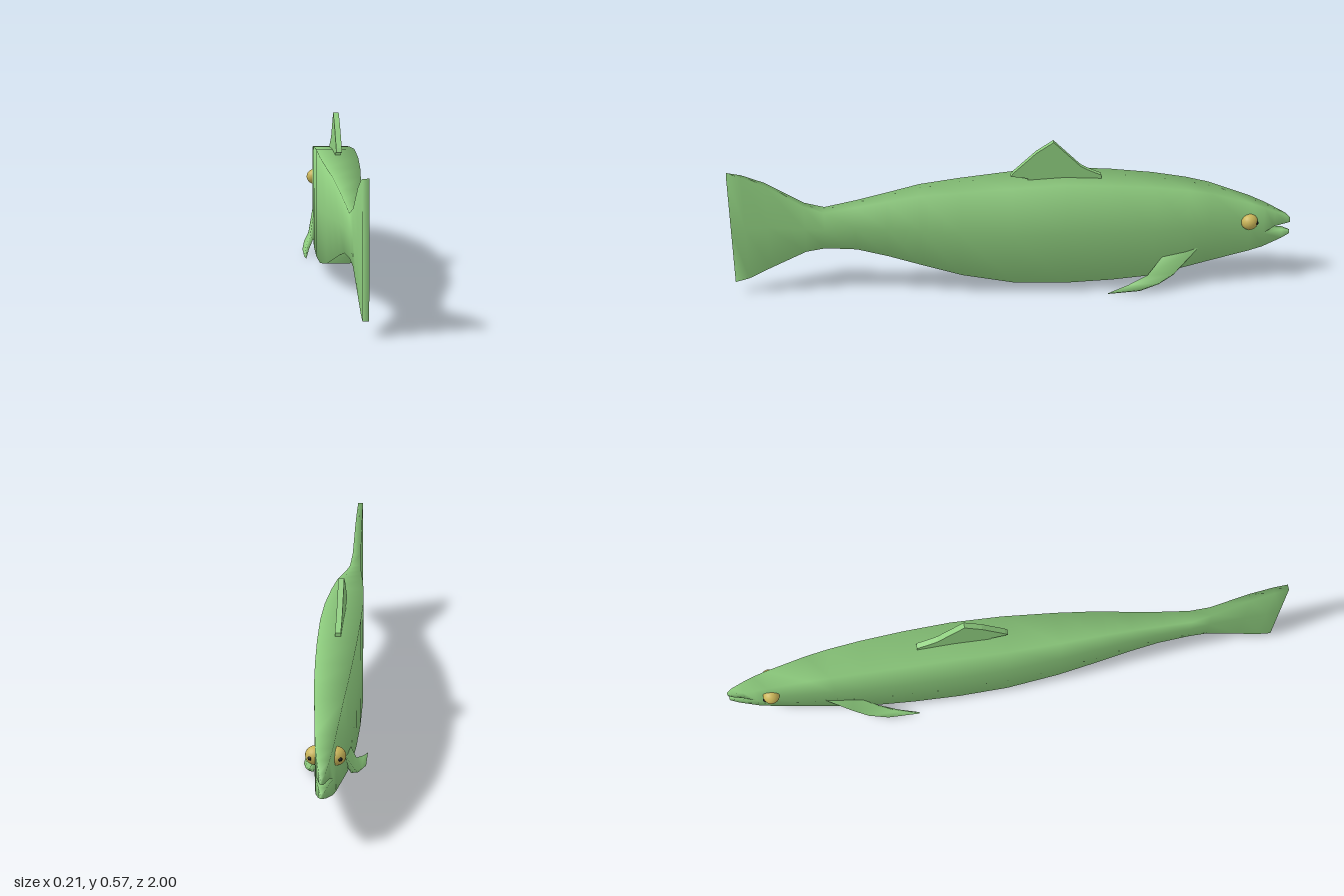
import * as THREE from 'three';
import { mergeGeometries, mergeVertices } from 'three/addons/utils/BufferGeometryUtils.js';

const green = new THREE.MeshStandardMaterial({ color: 0x8fce7f });
const gold = new THREE.MeshStandardMaterial({ color: 0xc9b458 });
const black = new THREE.MeshStandardMaterial({ color: 0x111111 });

// Skin a series of closed rings ([x, y, z] corners), optionally capping either end
function loft(rings, capStart = true, capEnd = true) {
  const n = rings[0].length, index = [];
  for (let r = 0; r < rings.length - 1; r++) {
    for (let i = 0; i < n; i++) {
      const a = r * n + i, b = r * n + (i + 1) % n;
      index.push(a, b, b + n, a, b + n, a + n);
    }
  }
  const last = (rings.length - 1) * n;
  for (let i = 1; i < n - 1; i++) {
    if (capStart) index.push(0, i + 1, i);
    if (capEnd) index.push(last, last + i, last + i + 1);
  }
  const g = new THREE.BufferGeometry();
  g.setAttribute('position', new THREE.Float32BufferAttribute(rings.flat(2), 3));
  g.setIndex(index);
  return g;
}

// Symmetric ring at z: half width w, heights listed from bottom to top
const ring = (z, w, ...ys) => [...ys.map(y => [w, y, z]), ...ys.slice().reverse().map(y => [-w, y, z])];

function createBody() {
  // z, half width, bottom, top
  const sections = [
    [-0.85, 0.033, 0.13, 0.322], [-0.7, 0.047, 0.1, 0.375], [-0.62, 0.054, 0.083, 0.393],
    [-0.5, 0.061, 0.056, 0.412], [-0.35, 0.067, 0.046, 0.427], [-0.18, 0.07, 0.041, 0.437],
    [0, 0.068, 0.047, 0.428], [0.19, 0.058, 0.08, 0.412], [0.33, 0.047, 0.12, 0.398],
    [0.45, 0.036, 0.155, 0.373], [0.56, 0.028, 0.182, 0.35], [0.67, 0.022, 0.187, 0.33],
    [0.74, 0.016, 0.172, 0.353], [0.87, 0.013, 0.108, 0.437], [0.95, 0.011, 0.066, 0.471], [1, 0.01, 0.052, 0.482],
  ];
  const trunk = loft([
    ring(-0.9, 0.027, 0.142, 0.196, 0.3),
    ...sections.map(([z, w, b, t]) => ring(z, w, b, (b + t) / 2, t)),
  ], false, true);
  // The jaws share the trunk's first ring, leaving the mouth open between them
  const upperJaw = loft([
    ring(-1, 0.004, 0.227, 0.243), ring(-0.985, 0.01, 0.226, 0.257),
    ring(-0.94, 0.02, 0.22, 0.28), ring(-0.9, 0.027, 0.196, 0.3),
  ], true, false);
  const lowerJaw = loft([
    ring(-1, 0.004, 0.18, 0.193), ring(-0.97, 0.013, 0.167, 0.202), ring(-0.9, 0.027, 0.142, 0.196),
  ], true, false);
  const g = mergeVertices(mergeGeometries([trunk, upperJaw, lowerJaw]));
  g.computeVertexNormals();
  return new THREE.Mesh(g, green);
}

function createDorsalFin() {
  const outline = [[0.31, 0.42], [0.05, 0.42], [0.05, 0.437], [-0.01, 0.446], [0, 0.46], [0.08, 0.535],
    [0.14, 0.575], [0.235, 0.48], [0.26, 0.465], [0.31, 0.442]];
  const shape = new THREE.Shape(outline.map(([x, y]) => new THREE.Vector2(x, y)));
  const g = new THREE.ExtrudeGeometry(shape, { depth: 0.02, bevelEnabled: false });
  // Turn the outline's x axis to run towards the head (-z)
  g.translate(0, 0, -0.01).rotateY(Math.PI / 2);
  return new THREE.Mesh(g, green);
}

function createPectoralFin(side) {
  // x, thickness offset, front [y, z], rear [y, z], from root to tip
  const sections = [
    [0.046, 0.005, [0.15, -0.66], [0.16, -0.56]],
    [0.068, 0.006, [0.06, -0.575], [0.058, -0.48]],
    [0.088, 0.006, [0.035, -0.52], [0.032, -0.41]],
    [0.101, 0.004, [0.016, -0.45], [0.008, -0.335]],
  ];
  const rings = sections.map(([x, t, [fy, fz], [ry, rz]]) => {
    const corners = [[x - t, fy - t, fz], [x + t, fy + t, fz], [x + t, ry + t, rz], [x - t, ry - t, rz]];
    return side > 0 ? corners : corners.map(([a, b, c]) => [-a, b, c]).reverse();
  });
  const g = loft(rings);
  g.computeVertexNormals();
  return new THREE.Mesh(g, green);
}

export function createModel() {
  const model = new THREE.Group();
  model.name = 'fish';
  const add = (mesh, name) => {
    mesh.name = name;
    model.add(mesh);
    return mesh;
  };

  add(createBody(), 'body');
  add(createDorsalFin(), 'dorsalFin');

  // Paired fins, eyes and pupils
  for (const [side, label] of [[1, 'left'], [-1, 'right']]) {
    add(createPectoralFin(side), label + 'PectoralFin');
    add(new THREE.Mesh(new THREE.SphereGeometry(0.03, 20, 14), gold), label + 'Eye')
      .position.set(side * 0.034, 0.25, -0.845);
    add(new THREE.Mesh(new THREE.SphereGeometry(0.007, 10, 8), black), label + 'Pupil')
      .position.set(side * 0.047, 0.25, -0.869);
  }
  return model;
}
